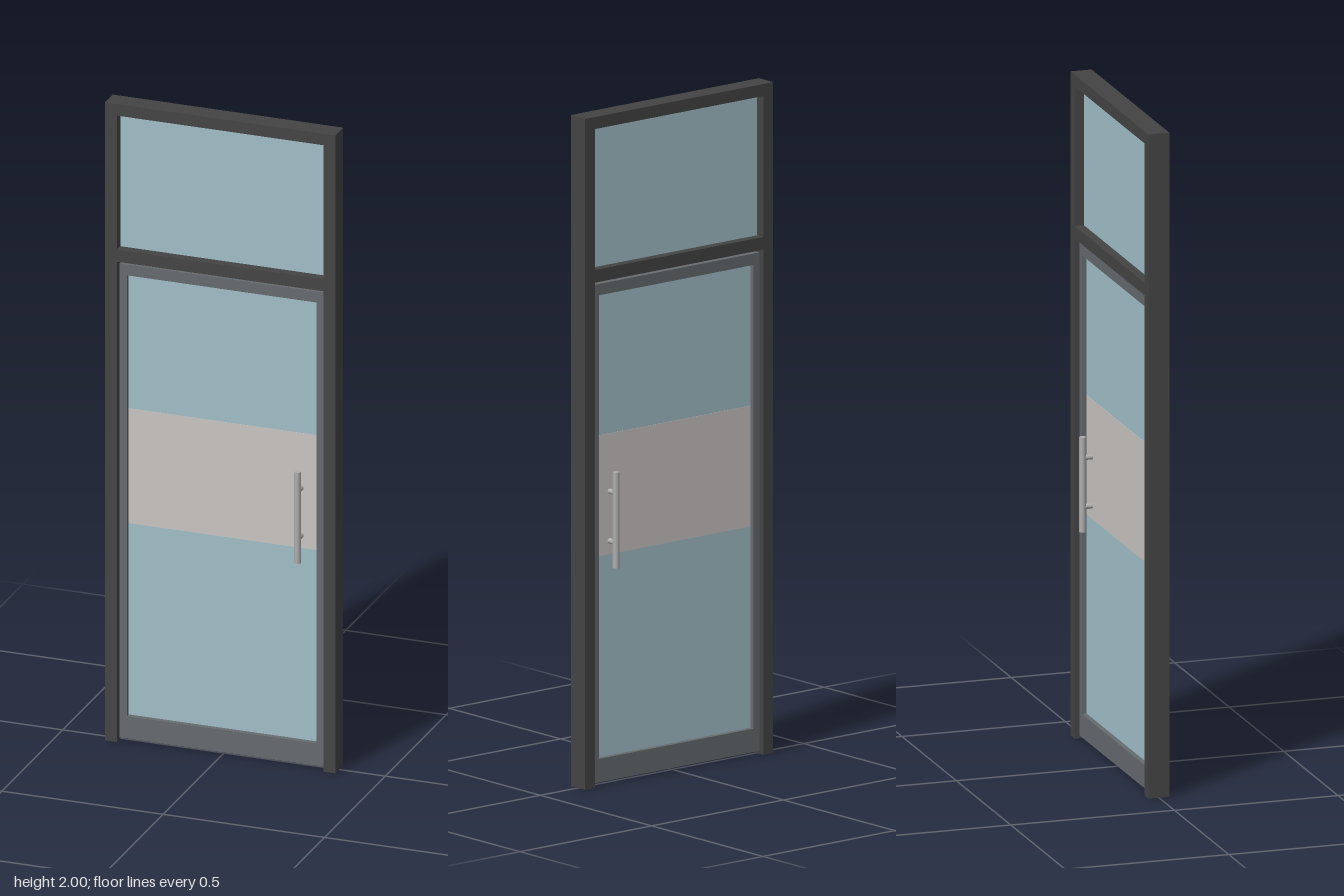
import * as THREE from 'three';

const mat = (name, color) => {
  const m = new THREE.MeshStandardMaterial({ color });
  m.name = name;
  return m;
};

export function createModel() {
  const frameMat = mat('dark frame', 0x444444);
  const leafMat = mat('grey door leaf', 0x666b6f);
  const glassMat = mat('blue glass', 0xa2c0c9);
  const filmMat = mat('frosted film', 0xc9c5c3);
  const metalMat = mat('brushed metal', 0xaeaeae);

  const model = new THREE.Group();
  model.name = 'glazedDoor';

  const group = (name) => {
    const g = new THREE.Group();
    g.name = name;
    model.add(g);
    return g;
  };

  // Box given by its x and y limits, centred on z = 0
  const slab = (parent, name, x0, x1, y0, y1, depth, material) => {
    const mesh = new THREE.Mesh(new THREE.BoxGeometry(x1 - x0, y1 - y0, depth), material);
    mesh.position.set((x0 + x1) / 2, (y0 + y1) / 2, 0);
    mesh.name = name;
    parent.add(mesh);
  };

  // Outer frame with jambs, head and transom bar
  const frame = group('outerFrame');
  const W = 0.357, J = 0.32, D = 0.064;
  slab(frame, 'rightJamb', -W, -J, 0, 2, D, frameMat);
  slab(frame, 'leftJamb', J, W, 0, 2, D, frameMat);
  slab(frame, 'head', -J, J, 1.964, 2, D, frameMat);
  slab(frame, 'transomBar', -J, J, 1.506, 1.544, D, frameMat);
  slab(frame, 'transomGlass', -J, J, 1.544, 1.964, 0.008, glassMat);

  // Door leaf with a taller bottom rail
  const leaf = group('doorLeaf');
  const L = 0.317, G = 0.294, T = 0.038;
  slab(leaf, 'rightStile', -L, -G, 0.01, 1.496, T, leafMat);
  slab(leaf, 'leftStile', G, L, 0.01, 1.496, T, leafMat);
  slab(leaf, 'topRail', -G, G, 1.462, 1.496, T, leafMat);
  slab(leaf, 'bottomRail', -G, G, 0.01, 0.08, T, leafMat);
  slab(leaf, 'doorGlass', -G, G, 0.08, 1.462, 0.008, glassMat);

  // Film band on both faces of the glass, and a pull handle on each side
  for (const side of [1, -1]) {
    const label = side > 0 ? 'front' : 'back';
    const film = new THREE.Mesh(new THREE.BoxGeometry(2 * G, 0.36, 0.001), filmMat);
    film.position.set(0, 0.86, side * 0.0045);
    film.name = label + 'FilmBand';
    leaf.add(film);

    const handle = group(label + 'Handle');
    const bar = new THREE.Mesh(new THREE.CylinderGeometry(0.01, 0.01, 0.286, 16), metalMat);
    bar.position.set(0.241, 0.787, side * 0.034);
    bar.name = 'pullBar';
    handle.add(bar);
    for (const y of [0.72, 0.868]) {
      const post = new THREE.Mesh(new THREE.CylinderGeometry(0.008, 0.008, 0.03, 16), metalMat);
      post.rotation.x = Math.PI / 2;
      post.position.set(0.241, y, side * 0.019);
      post.name = 'standoff';
      handle.add(post);
    }
  }

  return model;
}
